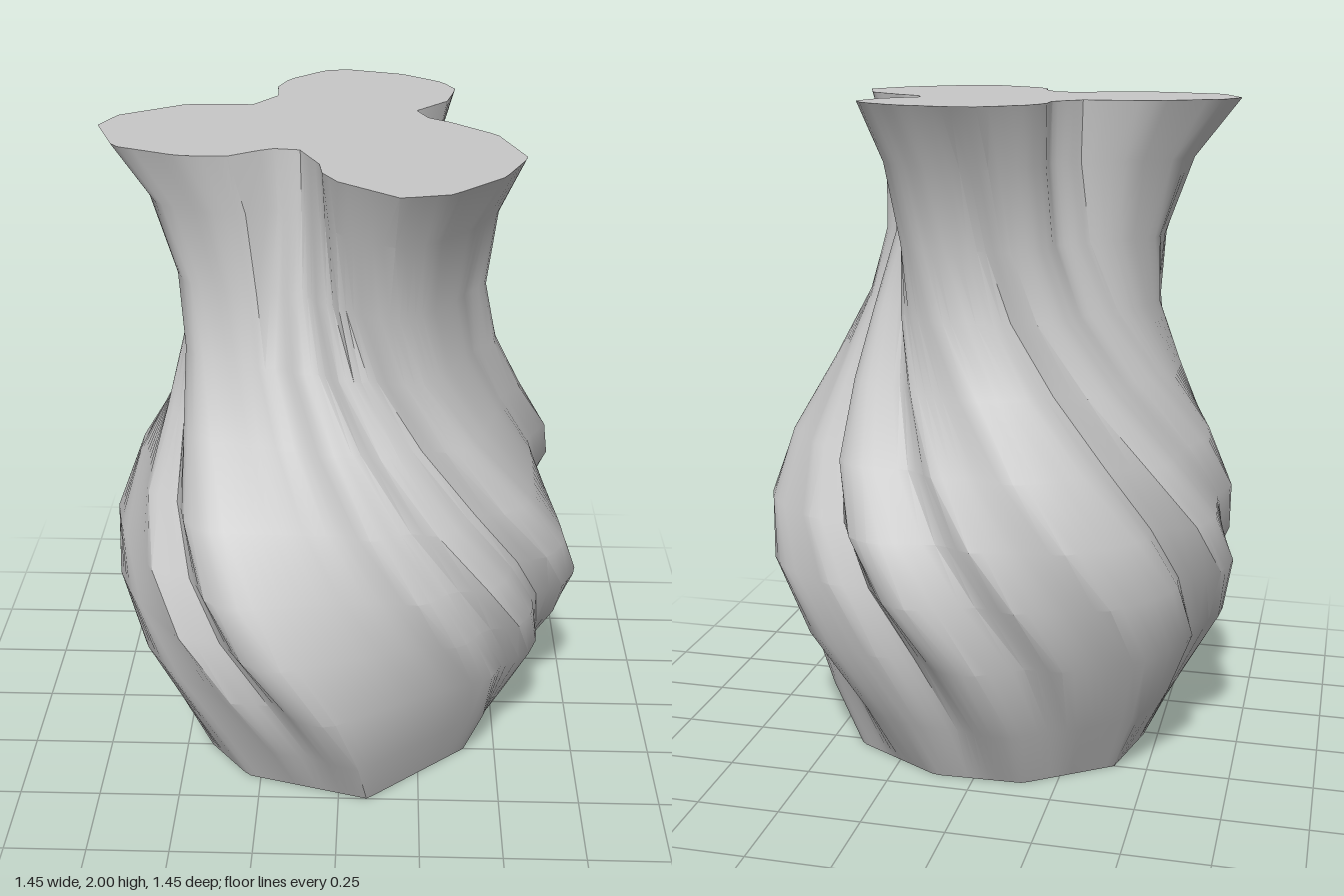
import * as THREE from 'three';
import { toCreasedNormals } from 'three/addons/utils/BufferGeometryUtils.js';

// Outlines as [x, z] pairs, ordered by growing angle from +x towards +z
const RIM = [[0.24, -0.1], [0.3, -0.06], [0.43, 0.06], [0.5, 0.26], [0.43, 0.42], [0.29, 0.56], [0.16, 0.59],
  [0, 0.47], [-0.055, 0.38], [-0.052, 0.33], [-0.11, 0.21], [-0.19, 0.2], [-0.3, 0.27], [-0.43, 0.27], [-0.62, 0.19],
  [-0.69, 0], [-0.65, -0.1], [-0.46, -0.22], [-0.27, -0.22], [-0.2, -0.32], [-0.21, -0.41], [-0.18, -0.5],
  [-0.07, -0.61], [0, -0.62], [0.17, -0.57], [0.29, -0.48], [0.33, -0.4], [0.3, -0.27], [0.21, -0.17]];
const BELLY = [[0.7, 0.05], [0.73, 0.17], [0.68, 0.26], [0.58, 0.31], [0.58, 0.4], [0.53, 0.48], [0.43, 0.5],
  [0.36, 0.59], [0.25, 0.6], [0.1, 0.64], [-0.05, 0.69], [-0.17, 0.73], [-0.26, 0.7], [-0.33, 0.59], [-0.46, 0.57],
  [-0.63, 0.35], [-0.69, 0.2], [-0.67, 0.1], [-0.73, -0.13], [-0.7, -0.23], [-0.58, -0.3], [-0.6, -0.4],
  [-0.52, -0.52], [-0.44, -0.6], [-0.3, -0.64], [-0.18, -0.69], [-0.08, -0.66], [0.1, -0.73], [0.18, -0.71],
  [0.26, -0.59], [0.38, -0.59], [0.57, -0.48], [0.62, -0.4], [0.59, -0.27], [0.63, -0.18]];
const FOOT = [[0.47, 0], [0.4, 0.25], [0.09, 0.5], [-0.29, 0.4], [-0.42, 0.25], [-0.46, 0], [-0.4, -0.25],
  [-0.15, -0.42], [0.12, -0.43], [0.4, -0.28]];

// Levels: height, twist in degrees, share of rim, belly and foot outline
const LEVELS = [[0, 88, 0, 0, 1], [0.2, 84, 0, 0.3, 0.75], [0.45, 75, 0, 0.75, 0.3], [0.65, 63, 0, 1, 0],
  [0.82, 53, 0, 0.98, 0], [1, 42, 0.04, 0.85, 0], [1.2, 29, 0.1, 0.65, 0], [1.4, 15, 0.2, 0.47, 0],
  [1.6, 6, 0.4, 0.29, 0], [1.83, 2, 0.68, 0.13, 0], [2, 0, 1, 0, 0]];
const COLUMNS = 120;

// Distance from the axis to an outline in a given direction
function radiusAt(outline, angle) {
  const dx = Math.cos(angle), dz = Math.sin(angle);
  for (let i = 0; i < outline.length; i++) {
    const [ax, az] = outline[i], [bx, bz] = outline[(i + 1) % outline.length];
    const sideA = dx * az - dz * ax, sideB = dx * bz - dz * bx;
    if (sideA <= 0 && sideB > 0) {
      const t = sideA / (sideA - sideB);
      const r = dx * (ax + (bx - ax) * t) + dz * (az + (bz - az) * t);
      if (r > 0) return r;
    }
  }
  return 0.45;
}

function ring([y, twist, rim, belly, foot]) {
  const points = [];
  for (let i = 0; i < COLUMNS; i++) {
    const flow = (i / COLUMNS) * Math.PI * 2;
    const r = rim * radiusAt(RIM, flow)
      + belly * radiusAt(BELLY, flow - THREE.MathUtils.degToRad(63))
      + foot * radiusAt(FOOT, flow - THREE.MathUtils.degToRad(88));
    const angle = flow - THREE.MathUtils.degToRad(twist);
    points.push([r * Math.cos(angle), y, r * Math.sin(angle)]);
  }
  return points;
}

function buildMesh(name, triangles, material, crease) {
  const geometry = new THREE.BufferGeometry();
  geometry.setAttribute('position', new THREE.Float32BufferAttribute(triangles.flat(2), 3));
  const mesh = new THREE.Mesh(toCreasedNormals(geometry, crease), material);
  mesh.name = name;
  return mesh;
}

export function createModel() {
  const group = new THREE.Group();
  group.name = 'twistedVase';
  const clay = new THREE.MeshStandardMaterial({ color: 0xc8c8c8 });
  clay.name = 'light grey';

  const rings = LEVELS.map(ring);
  const wall = [], top = [], bottom = [];
  const last = rings.length - 1;
  for (let i = 0; i < COLUMNS; i++) {
    const n = (i + 1) % COLUMNS;
    // Twisted wall
    for (let j = 0; j < last; j++) {
      const a = rings[j][i], b = rings[j][n], c = rings[j + 1][n], d = rings[j + 1][i];
      wall.push([a, d, b], [d, c, b]);
    }
    // Flat caps
    top.push([[0, 2, 0], rings[last][n], rings[last][i]]);
    bottom.push([[0, 0, 0], rings[0][i], rings[0][n]]);
  }
  group.add(
    buildMesh('body', wall, clay, 0.6),
    buildMesh('topFace', top, clay, 0.1),
    buildMesh('baseFace', bottom, clay, 0.1),
  );
  return group;
}
